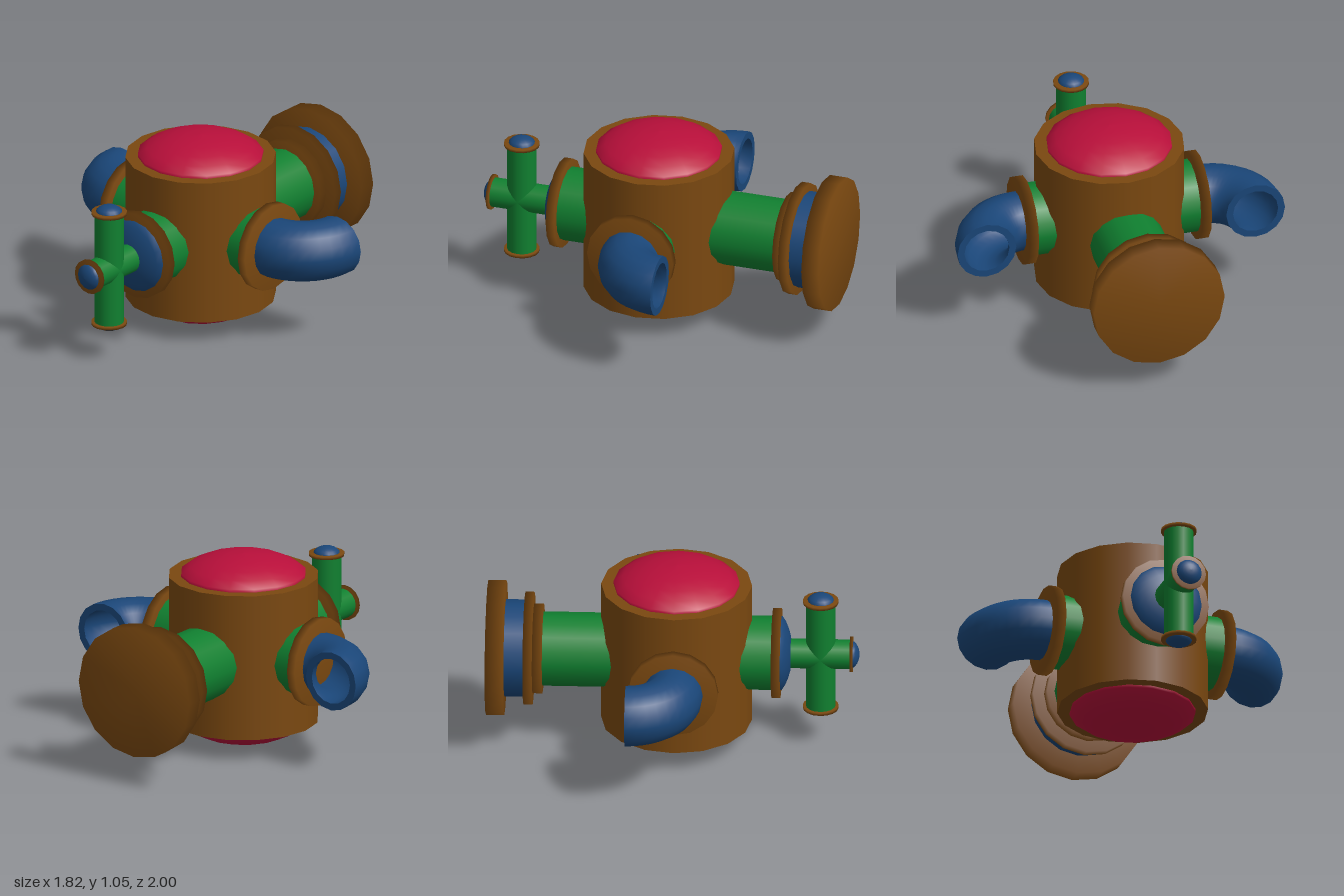
import * as THREE from 'three';

const BROWN = 0x7a4810, BLUE = 0x1a4678, GREEN = 0x108030, RED = 0xb80f3a;
const SIDES = 16;
const AXIS_Y = 0.53, BODY_Z = 0.015;

function addMesh(parent, name, geometry, color, side = THREE.FrontSide) {
  const mesh = new THREE.Mesh(geometry, new THREE.MeshStandardMaterial({ color, side }));
  mesh.name = name;
  parent.add(mesh);
  return mesh;
}

// Straight pipe or drum between two heights on the local y axis
function pipe(parent, name, color, r, y0, y1) {
  const g = new THREE.CylinderGeometry(r, r, y1 - y0, SIDES);
  g.translate(0, (y0 + y1) / 2, 0);
  return addMesh(parent, name, g, color);
}

// Softly shaded disc
function flange(parent, name, r, y0, y1) {
  const profile = [[0, y0], [r, y0], [r, y1], [0, y1]].map(p => new THREE.Vector2(...p));
  return addMesh(parent, name, new THREE.LatheGeometry(profile, SIDES), BROWN);
}

// Shallow dome with a short straight rim
function dome(parent, name, color, r, y0, rim, height) {
  const pts = [new THREE.Vector2(r, y0)];
  for (let i = 0; i <= 5; i++) {
    const a = (i / 5) * Math.PI / 3;
    const rise = (Math.cos(Math.PI / 3 - a) - 0.5) / 0.5;
    pts.push(new THREE.Vector2(i === 5 ? 0 : r * Math.sin(Math.PI / 3 - a) / Math.sin(Math.PI / 3),
      y0 + rim + rise * height));
  }
  return addMesh(parent, name, new THREE.LatheGeometry(pts, SIDES), color);
}

function group(parent, name, x, y, z, rx = 0, rz = 0) {
  const g = new THREE.Group();
  g.name = name;
  g.position.set(x, y, z);
  g.rotation.set(rx, 0, rz);
  parent.add(g);
  return g;
}

export function createModel() {
  const model = new THREE.Group();
  model.name = 'pipeJunction';

  // Central drum with a dome on each end
  const drum = group(model, 'drum', 0, AXIS_Y, BODY_Z);
  pipe(drum, 'drumBody', BROWN, 0.405, -0.404, 0.404);
  dome(drum, 'topDome', RED, 0.338, 0.4, 0.02, 0.102);
  dome(drum, 'bottomDome', RED, 0.338, 0.4, 0.02, 0.105).rotation.x = Math.PI;

  // Side ports with hollow elbows opening to the back
  const bend = 0.243, outer = 0.163, inner = 0.125, elbowX = 0.503, elbowZ = -0.23;
  for (const s of [1, -1]) {
    const label = s > 0 ? 'left' : 'right';
    const port = group(model, label + 'Port', 0, AXIS_Y, BODY_Z, 0, -s * Math.PI / 2);
    pipe(port, label + 'Neck', GREEN, 0.2, 0.25, 0.46);
    flange(port, label + 'Flange', 0.242, 0.455, 0.505);

    const elbow = group(model, label + 'Elbow', s * elbowX, AXIS_Y, elbowZ);
    for (const [part, r, side] of [['Outer', outer, THREE.FrontSide], ['Inner', inner, THREE.BackSide]]) {
      const g = new THREE.TorusGeometry(bend, r, SIDES, 10, Math.PI / 2);
      g.rotateX(Math.PI / 2);
      if (s < 0) g.rotateY(-Math.PI / 2);
      addMesh(elbow, label + 'Elbow' + part, g, BLUE, side);
    }
    const rim = addMesh(elbow, label + 'ElbowRim', new THREE.RingGeometry(inner, outer, SIDES), BLUE, THREE.DoubleSide);
    rim.position.x = s * bend;
  }

  // Front port closed by a dome
  const front = group(model, 'frontPort', 0, AXIS_Y, 0, Math.PI / 2);
  pipe(front, 'frontNeck', GREEN, 0.2, 0.25, 0.535);
  flange(front, 'frontFlange', 0.242, 0.528, 0.575);
  dome(front, 'frontDome', BLUE, 0.2, 0.57, 0.01, 0.055);

  // Valve cross: one stem forward, two arms up and down, each capped
  pipe(front, 'valveStem', GREEN, 0.08, 0.6, 0.945);
  flange(front, 'stemRing', 0.096, 0.944, 0.96);
  dome(front, 'stemCap', BLUE, 0.07, 0.955, 0.01, 0.03);
  for (const s of [1, -1]) {
    const label = s > 0 ? 'upper' : 'lower';
    const arm = group(model, label + 'ValveArm', 0, AXIS_Y, 0.787, s > 0 ? 0 : Math.PI);
    pipe(arm, label + 'ArmPipe', GREEN, 0.08, 0, 0.312);
    flange(arm, label + 'ArmRing', 0.096, 0.311, 0.327);
    dome(arm, label + 'ArmCap', BLUE, 0.07, 0.322, 0.01, 0.03);
  }

  // Back port with stepped collars and a wide end plate
  const back = group(model, 'backPort', 0, AXIS_Y, 0, -Math.PI / 2);
  pipe(back, 'backNeck', GREEN, 0.2, 0.2, 0.71);
  flange(back, 'smallCollar', 0.242, 0.7, 0.755);
  flange(back, 'wideCollar', 0.304, 0.752, 0.8);
  pipe(back, 'backSleeve', BLUE, 0.262, 0.79, 0.91);
  flange(back, 'endPlate', 0.363, 0.903, 1.0);

  return model;
}
